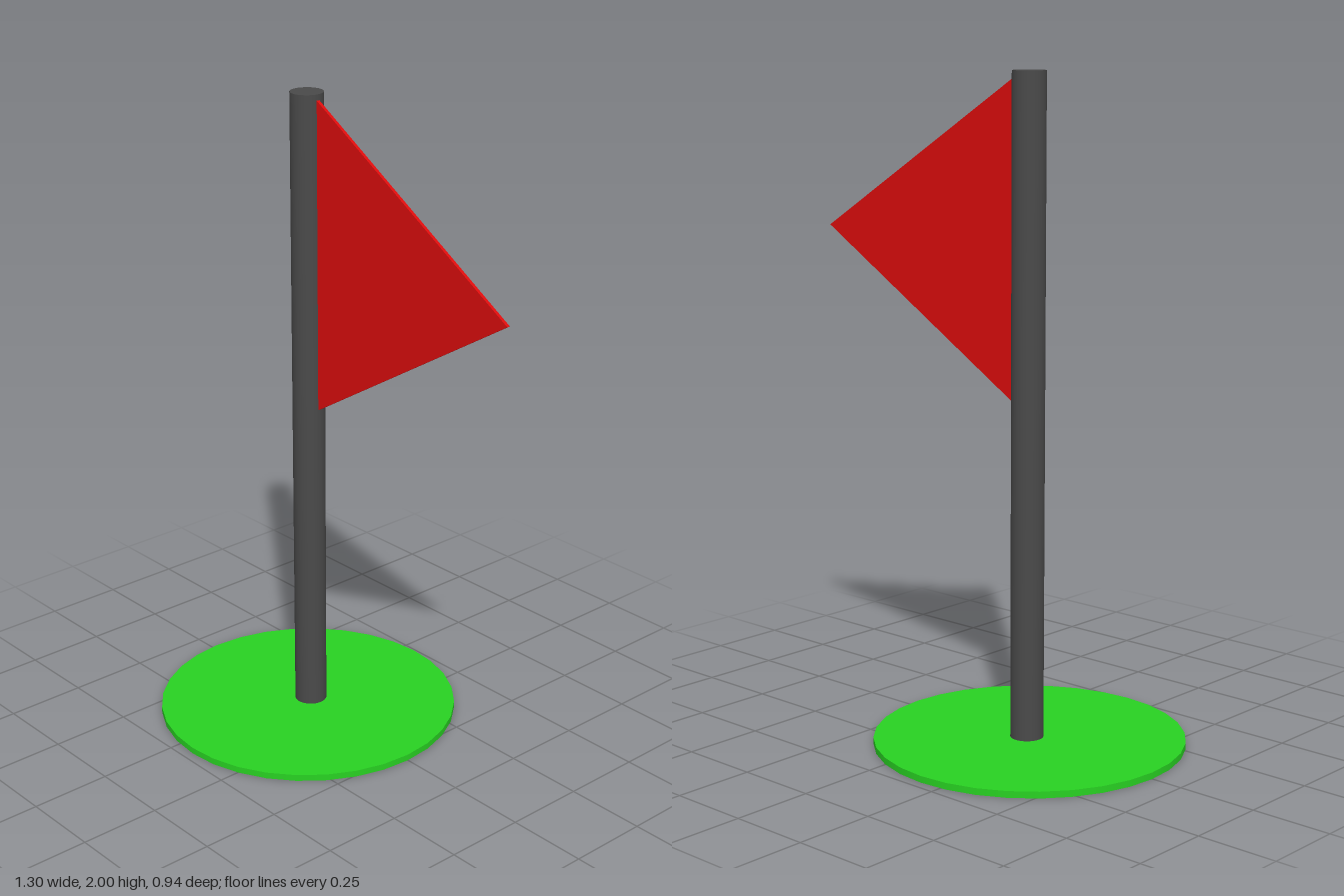
import * as THREE from 'three';

const POLE_X = -0.178, POLE_Z = -0.012;

function addPart(group, name, geometry, color, x, y, z) {
  const mesh = new THREE.Mesh(geometry, new THREE.MeshStandardMaterial({ color }));
  mesh.name = name;
  mesh.position.set(x, y, z);
  group.add(mesh);
}

export function createModel() {
  const group = new THREE.Group();
  group.name = 'flagOnStand';

  // Thin round base
  addPart(group, 'base', new THREE.CylinderGeometry(0.47, 0.47, 0.02, 32), 0x28d222, POLE_X, 0.01, 0);

  // Upright pole
  addPart(group, 'pole', new THREE.CylinderGeometry(0.05, 0.05, 2, 32), 0x4a4a4a, POLE_X, 1, POLE_Z);

  // Triangular pennant, a thin slab with its long edge against the pole
  const pennant = new THREE.Shape([
    new THREE.Vector2(-0.13, 1.03),
    new THREE.Vector2(0.648, 1.506),
    new THREE.Vector2(-0.13, 1.983),
  ]);
  const thickness = 0.01;
  const flag = new THREE.ExtrudeGeometry(pennant, { depth: thickness, bevelEnabled: false });
  addPart(group, 'flag', flag, 0xdd0d0d, 0, 0, POLE_Z - thickness / 2);

  return group;
}
